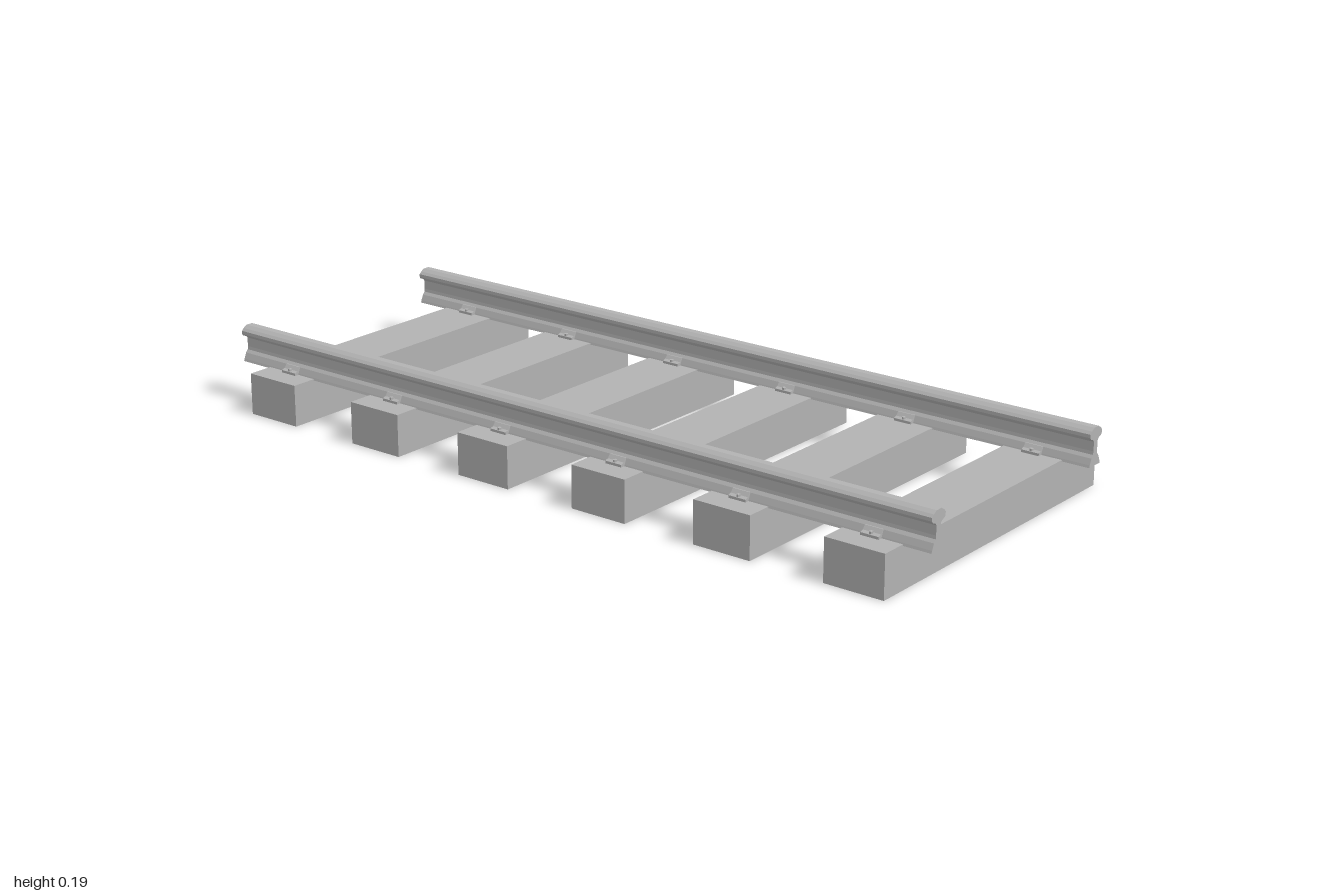
import * as THREE from 'three';

const material = new THREE.MeshStandardMaterial({ color: 0xb2b2b2, flatShading: true });
material.name = 'plain grey';

// Extrude a closed x/y outline along z, centred on z = 0
function extrude(points, depth) {
  const shape = new THREE.Shape(points.map(([x, y]) => new THREE.Vector2(x, y)));
  const geometry = new THREE.ExtrudeGeometry(shape, { depth, bevelEnabled: false });
  return geometry.translate(0, 0, -depth / 2);
}

function add(parent, geometry, name, x = 0, y = 0, z = 0) {
  const mesh = new THREE.Mesh(geometry, material);
  mesh.name = name;
  mesh.position.set(x, y, z);
  parent.add(mesh);
  return mesh;
}

export function createModel() {
  const model = new THREE.Group();
  model.name = 'railwayTrack';

  const tieZ = Array.from({ length: 6 }, (_, i) => -0.834 + i * 0.338);
  const railX = [-0.336, 0.295];

  // Wooden cross ties
  const tie = new THREE.BoxGeometry(0.845, 0.103, 0.15);
  tieZ.forEach((z) => add(model, tie, 'tie', 0, 0.0515, z));

  // Rail: right half of the profile from foot to head, mirrored
  const half = [
    [0.023, 0.1], [0.021, 0.106], [0.015, 0.12], [0.009, 0.127], [0.008, 0.135],
    [0.008, 0.157], [0.012, 0.162], [0.022, 0.166], [0.025, 0.17], [0.025, 0.178],
    [0.019, 0.184], [0.009, 0.19],
  ];
  const mirrored = half.map(([x, y]) => [-x, y]).reverse();
  const rail = extrude([...half, ...mirrored], 2);

  // Clip holding the rail foot, with a small bolt head
  const clip = extrude([
    [0.012, 0.101], [0.033, 0.101], [0.033, 0.109], [0.024, 0.112], [0.017, 0.121], [0.012, 0.121],
  ], 0.045);
  const bolt = new THREE.CylinderGeometry(0.005, 0.005, 0.006, 6);

  railX.forEach((x) => {
    add(model, rail, 'rail', x);
    tieZ.forEach((z) => {
      [0, Math.PI].forEach((turn) => {
        const fastener = new THREE.Group();
        fastener.name = 'railFastener';
        fastener.position.set(x, 0, z);
        fastener.rotation.y = turn;
        add(fastener, clip, 'clip');
        add(fastener, bolt, 'bolt', 0.027, 0.112, 0);
        model.add(fastener);
      });
    });
  });

  return model;
}
